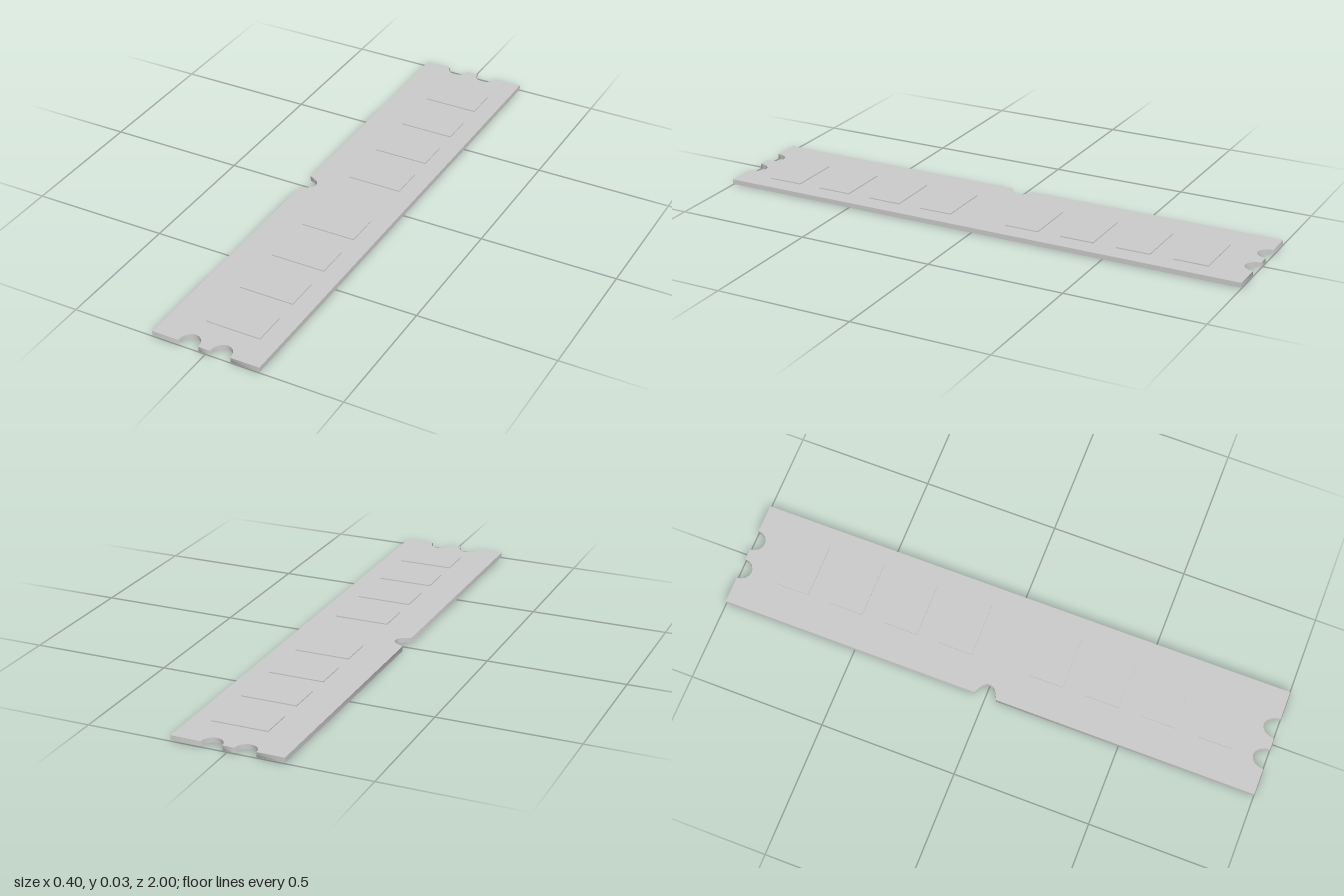
import * as THREE from 'three';
import { toCreasedNormals } from 'three/addons/utils/BufferGeometryUtils.js';

const material = new THREE.MeshStandardMaterial({ color: 0xcccccc });

// Notch profiles: [offset along the edge, depth into the board]
const roundNotch = (halfWidth, depth, steps = 8) =>
  Array.from({ length: steps + 1 }, (_, i) => {
    const a = (i / steps) * Math.PI;
    return [-Math.cos(a) * halfWidth, Math.sin(a) * depth];
  });
const sideNotch = [[-0.041, 0], [-0.032, 0.02], [-0.021, 0.037], [-0.01, 0.044], [0, 0.046],
  [0.01, 0.044], [0.021, 0.037], [0.032, 0.02], [0.041, 0]];

function makeBoard() {
  const W = 0.2, L = 1;
  const centres = [-0.064, 0.055];
  const points = [[-W, -L]];
  // Front end, left to right
  for (const c of centres)
    for (const [t, d] of roundNotch(0.0385, 0.05)) points.push([c + t, -L + d]);
  points.push([W, -L], [W, L]);
  // Back end, right to left
  for (const c of [...centres].reverse())
    for (const [t, d] of roundNotch(0.0385, 0.042)) points.push([c - t, L - d]);
  points.push([-W, L]);
  // Keying notch halfway along one long edge
  for (const [t, d] of sideNotch) points.push([-W + d, -t]);

  const shape = new THREE.Shape(points.map(([x, y]) => new THREE.Vector2(x, y)));
  const geometry = new THREE.ExtrudeGeometry(shape, { depth: 0.018, bevelEnabled: false });
  geometry.rotateX(-Math.PI / 2);
  const board = new THREE.Mesh(toCreasedNormals(geometry, 1.45), material);
  board.name = 'circuitBoard';
  board.position.y = 0.003;
  return board;
}

function makeChip(name, x, z, width, length, y0, y1) {
  const chip = new THREE.Mesh(new THREE.BoxGeometry(width, y1 - y0, length), material);
  chip.name = name;
  chip.position.set(x, (y0 + y1) / 2, z);
  return chip;
}

export function createModel() {
  const model = new THREE.Group();
  model.name = 'memoryModule';
  model.add(makeBoard());

  // Two banks of four chips, large on top and small underneath
  for (const bankStart of [0.813, -0.163]) {
    for (let i = 0; i < 4; i++) {
      const z = bankStart - i * 0.2105;
      model.add(makeChip('topChip', 0.028, z, 0.202, 0.125, 0.02, 0.025));
      model.add(makeChip('bottomChip', 0.028, z, 0.098, 0.085, 0, 0.004));
    }
  }
  return model;
}
